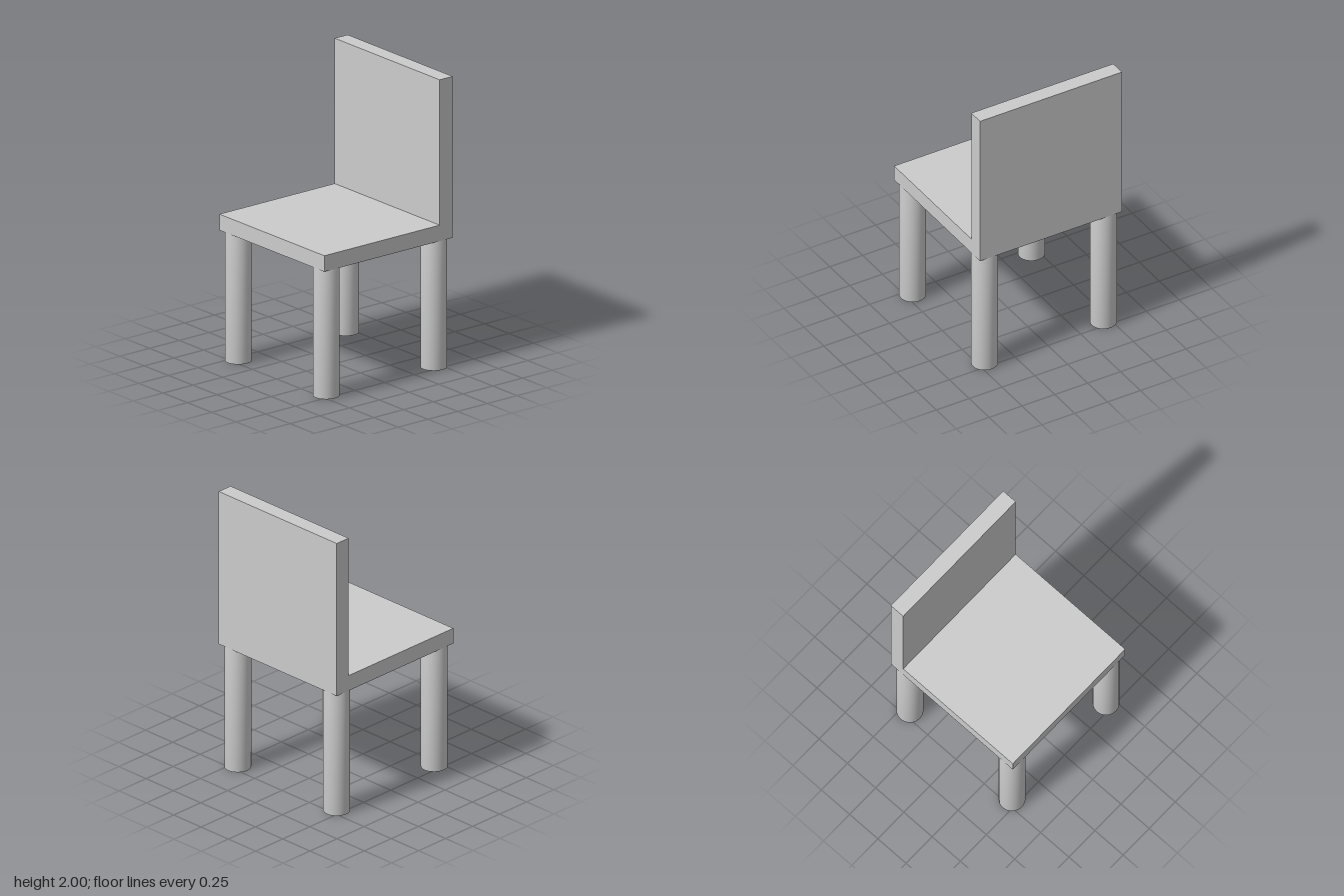
import * as THREE from 'three';
import { mergeVertices } from 'three/addons/utils/BufferGeometryUtils.js';

const HALF = 0.54;        // half width and half depth
const SEAT_BOTTOM = 0.89;
const SEAT_TOP = 1.0;
const BACK_INNER = 0.43;  // inner face of the backrest
const LEG_RADIUS = 0.088;

// One L-shaped profile forms the seat and the backrest
function seatAndBackGeometry() {
  const profile = new THREE.Shape([
    [-HALF, SEAT_BOTTOM], [HALF, SEAT_BOTTOM], [HALF, 2],
    [BACK_INNER, 2], [BACK_INNER, SEAT_TOP], [-HALF, SEAT_TOP],
  ].map(([x, y]) => new THREE.Vector2(x, y)));
  return new THREE.ExtrudeGeometry(profile, { depth: 2 * HALF, bevelEnabled: false })
    .translate(0, 0, -HALF);
}

// Round leg whose normals are blended across the end caps
function legGeometry() {
  const cylinder = new THREE.CylinderGeometry(LEG_RADIUS, LEG_RADIUS, SEAT_BOTTOM, 32);
  cylinder.deleteAttribute('normal');
  cylinder.deleteAttribute('uv');
  const leg = mergeVertices(cylinder);
  leg.computeVertexNormals();
  return leg.translate(0, SEAT_BOTTOM / 2, 0);
}

export function createModel() {
  const chair = new THREE.Group();
  chair.name = 'chair';
  const material = new THREE.MeshStandardMaterial({ color: 0xcccccc });

  const seat = new THREE.Mesh(seatAndBackGeometry(), material);
  seat.name = 'seatAndBackrest';
  chair.add(seat);

  // Four legs, flush with the corners of the seat
  const legShape = legGeometry();
  const offset = HALF - LEG_RADIUS;
  for (const [sideX, nameX] of [[1, 'Left'], [-1, 'Right']]) {
    for (const [sideZ, nameZ] of [[1, 'front'], [-1, 'back']]) {
      const leg = new THREE.Mesh(legShape, material);
      leg.name = `${nameZ}${nameX}Leg`;
      leg.position.set(sideX * offset, 0, sideZ * offset);
      chair.add(leg);
    }
  }
  return chair;
}
